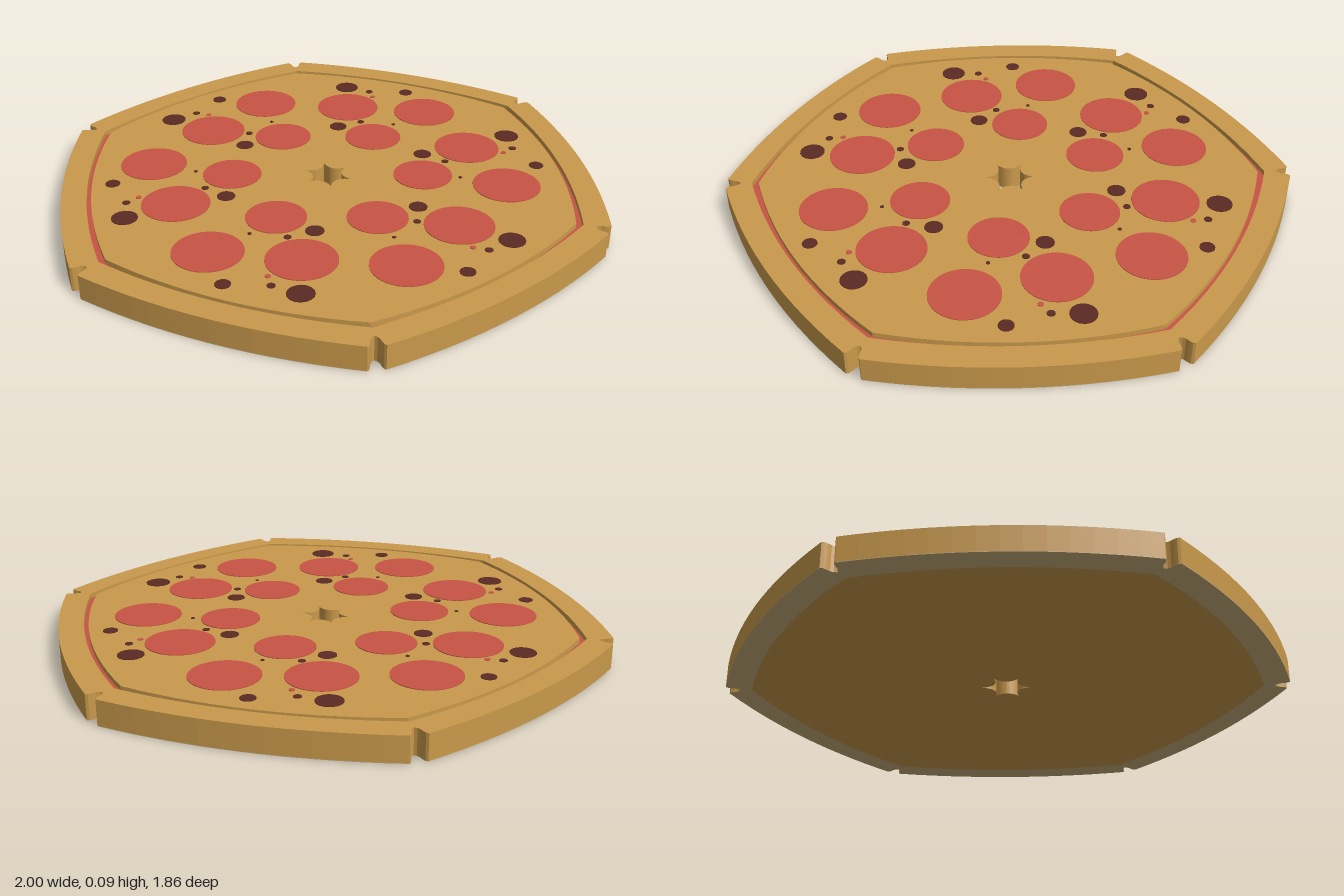
import * as THREE from 'three';

const mat = (name, color) => {
  const m = new THREE.MeshStandardMaterial({ color });
  m.name = name;
  return m;
};

// Point at (radial, sideways) turned by an angle
const turned = (r, s, a) => [r * Math.cos(a) - s * Math.sin(a), r * Math.sin(a) + s * Math.cos(a)];
const SIXTH = Math.PI / 3;

// Six-sided outline with curved sides: corner radius, mid-side radius,
// and optional notch points (radial, sideways) on the near side of each corner
function outline(path, corner, mid, notch = [[corner, 0]]) {
  const [er, es] = notch[notch.length - 1];
  const apothem = er * Math.cos(SIXTH / 2) + es * Math.sin(SIXTH / 2);
  const control = 2 * mid - apothem;
  path.moveTo(...turned(...notch[0], 0));
  for (let k = 0; k < 6; k++) {
    const a = k * SIXTH, next = a + SIXTH;
    notch.slice(1).forEach(p => path.lineTo(...turned(...p, a)));
    path.quadraticCurveTo(...turned(control, 0, a + SIXTH / 2), ...turned(er, -es, next));
    [...notch].reverse().slice(1).forEach(([r, s]) => path.lineTo(...turned(r, -s, next)));
  }
  return path;
}

export function createModel() {
  const group = new THREE.Group();
  const dough = mat('golden dough', 0xc9994b);
  const under = mat('pale crust underside', 0xc8ad7a);
  const red = mat('tomato red', 0xc85445);
  const brown = mat('dark brown', 0x5a2b22);

  const add = (name, geometry, material) => {
    const mesh = new THREE.Mesh(geometry, material);
    mesh.name = name;
    group.add(mesh);
  };

  // Flat layer between two heights
  const layer = (name, shape, y0, y1, material) => {
    const g = new THREE.ExtrudeGeometry(shape, { depth: y1 - y0, bevelEnabled: false, curveSegments: 14 });
    g.rotateX(-Math.PI / 2).translate(0, y0, 0);
    add(name, g, material);
  };
  const plate = (corner, mid, holeCorner, holeMid) => {
    const s = outline(new THREE.Shape(), corner, mid);
    s.holes.push(outline(new THREE.Path(), holeCorner, holeMid));
    return s;
  };

  // Outer crust, notched where the slices meet
  const notch = [[0.952, 0], [0.958, 0.008], [0.968, 0.014], [0.982, 0.017], [0.993, 0.021], [0.999, 0.028]];
  const crust = outline(new THREE.Shape(), 1, 0.93, notch);
  crust.holes.push(outline(new THREE.Path(), 0.912, 0.843));
  layer('crust', crust, 0.002, 0.088, dough);
  layer('crustUnderside', crust, 0, 0.002, under);

  // Base, sauce showing in the narrow gap, and cheese
  layer('base', plate(0.912, 0.843, 0.085, 0.051), 0, 0.065, dough);
  layer('sauce', plate(0.912, 0.843, 0.11, 0.075), 0.065, 0.07, red);
  layer('cheese', plate(0.888, 0.828, 0.085, 0.051), 0.065, 0.088, dough);

  // Toppings of one slice [x, z, radius], repeated on all six
  const toppings = [
    ['pepperoni', red, 0.0025, [[-0.13, -0.54, 0.118], [0.165, -0.61, 0.118], [0.05, -0.335, 0.104], [-0.07, -0.665, 0.01]]],
    ['olive', brown, 0.002, [[-0.2, -0.712, 0.045], [0.04, -0.755, 0.026], [-0.103, -0.367, 0.032],
      [-0.1, -0.707, 0.014], [-0.036, -0.436, 0.013], [0.088, -0.463, 0.007]]],
  ];
  for (let k = 0; k < 6; k++) {
    for (const [name, material, h, list] of toppings) {
      for (const [x, z, r] of list) {
        const g = new THREE.CylinderGeometry(r, r, h, r > 0.1 ? 40 : 16);
        g.translate(x, 0.088 + h / 2, z).rotateY(k * SIXTH);
        add(name, g, material);
      }
    }
  }
  return group;
}
